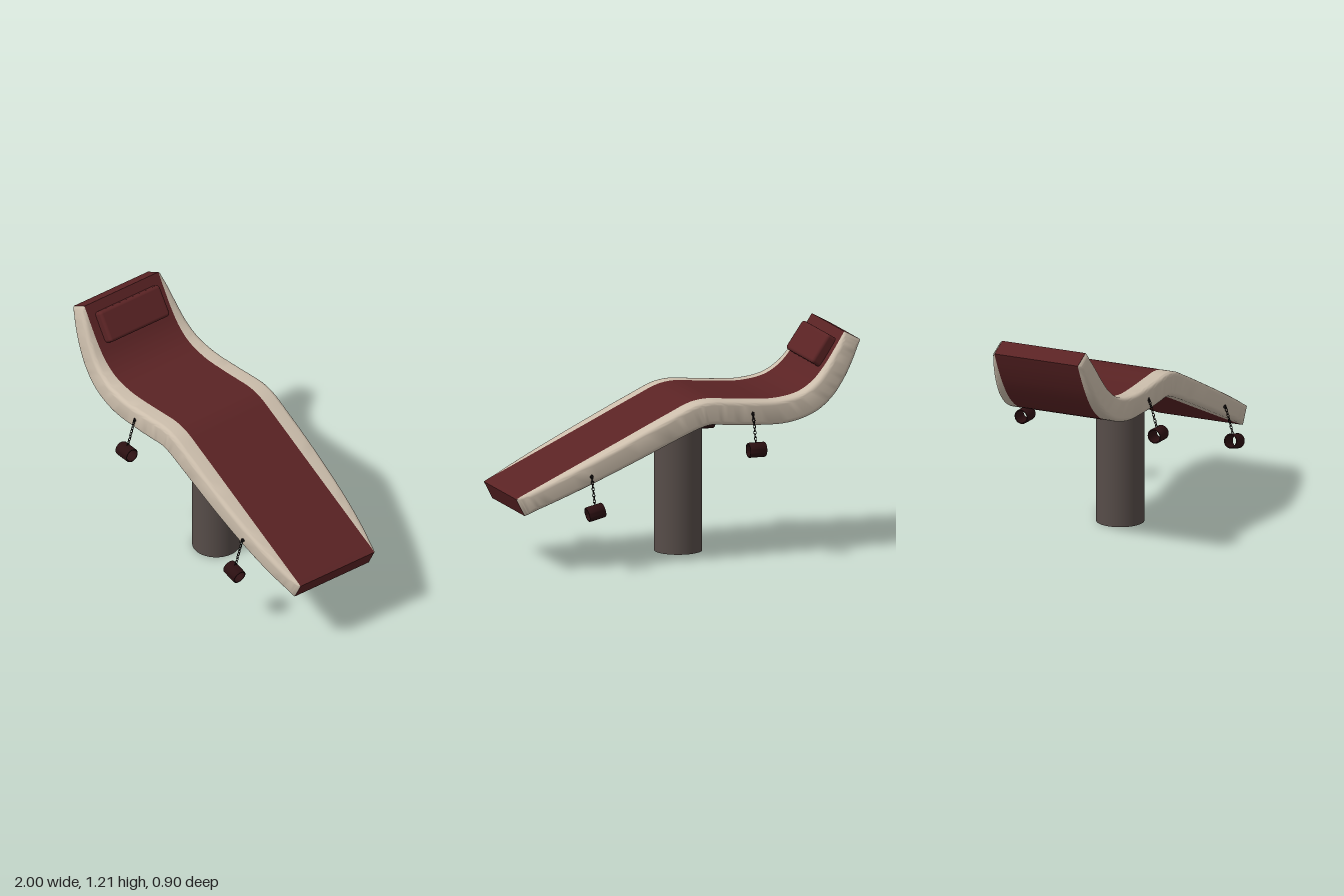
import * as THREE from 'three';
import { toCreasedNormals } from 'three/addons/utils/BufferGeometryUtils.js';
import { RoundedBoxGeometry } from 'three/addons/geometries/RoundedBoxGeometry.js';

const mat = (name, color) => Object.assign(new THREE.MeshStandardMaterial({ color }), { name });
const red = mat('redLeather', 0x5a2324);
const cream = mat('creamLeather', 0xcbbdab);
const brown = mat('pedestalBrown', 0x574d49);
const cuffDark = mat('cuffLeather', 0x2c1012);
const black = mat('chainBlack', 0x181313);

// Matching points along the top and underside of the lounger, head to foot
const profile = [
  [-0.905, 1.205, -0.997, 1.155], [-0.89, 1.18, -0.986, 1.13], [-0.85, 1.115, -0.945, 1.045],
  [-0.79, 1.025, -0.89, 0.95], [-0.72, 0.945, -0.82, 0.86], [-0.63, 0.89, -0.72, 0.785],
  [-0.5, 0.866, -0.56, 0.738], [-0.36, 0.87, -0.36, 0.738], [-0.2, 0.884, -0.2, 0.75],
  [-0.1, 0.891, -0.11, 0.758], [-0.01, 0.877, -0.05, 0.745], [0.12, 0.82, 0.07, 0.697],
  [0.4, 0.688, 0.35, 0.573], [0.7, 0.547, 0.65, 0.44], [0.9, 0.453, 0.85, 0.353],
  [0.965, 0.423, 0.92, 0.322], [0.992, 0.408, 0.943, 0.313],
];
const N = 80;
const INNER = 0.255; // half width of the red centre strip
const curve = (k) => new THREE.CatmullRomCurve3(profile.map((p) => new THREE.Vector3(p[k], p[k + 1], 0)));
const upperCurve = curve(0), lowerCurve = curve(2);
const upper = [], lower = [];
for (let i = 0; i <= N; i++) {
  upper.push(upperCurve.getPoint(i / N));
  lower.push(lowerCurve.getPoint(i / N));
}

// Overall half width, bulging in the middle and closing at both ends
function halfWidth(x) {
  const u = Math.min(1, x < 0 ? -x / 0.951 : x / 0.9675);
  return 0.256 + 0.094 * (x < 0 ? Math.sqrt(1 - u ** 3) : (1 - u ** 2.5) ** 0.7);
}

function centreStrip() {
  const outline = [...lower, ...upper.slice().reverse()].map((p) => new THREE.Vector2(p.x, p.y));
  const geo = new THREE.ExtrudeGeometry(new THREE.Shape(outline), { depth: INNER * 2, bevelEnabled: false });
  geo.translate(0, 0, -INNER);
  return toCreasedNormals(geo, 0.5);
}

// Cream side bolster with rounded edges, side = 1 or -1
function sideBolster(side) {
  const pos = [], index = [], ARC = 5, rows = 2 * (ARC + 1) + 2;
  for (let i = 0; i <= N; i++) {
    const a = upper[i], b = lower[i];
    const h = halfWidth((a.x + b.x) / 2), r = Math.min(0.025, h - INNER);
    const f = r / a.distanceTo(b);
    const section = [[0, INNER]];
    for (let k = 0; k <= ARC; k++) {
      const t = (k / ARC) * Math.PI / 2;
      section.push([f * (1 - Math.cos(t)), h - r + r * Math.sin(t)]);
    }
    for (let k = ARC; k >= 0; k--) section.push([1 - section[k + 1][0], section[k + 1][1]]);
    section.push([1, INNER]);
    for (const [t, z] of section) {
      const p = a.clone().lerp(b, t);
      pos.push(p.x, p.y, side * z);
    }
  }
  for (let i = 0; i < N; i++) for (let j = 0; j < rows - 1; j++) {
    const a = i * rows + j, b = a + 1, d = a + rows, c = d + 1;
    if (side > 0) index.push(a, b, d, b, c, d);
    else index.push(a, d, b, b, d, c);
  }
  const geo = new THREE.BufferGeometry();
  geo.setAttribute('position', new THREE.Float32BufferAttribute(pos, 3));
  geo.setIndex(index);
  return toCreasedNormals(geo, 0.9);
}

function add(parent, name, geo, material) {
  const m = new THREE.Mesh(geo, material);
  m.name = name;
  parent.add(m);
  return m;
}

// Cuff hanging from the bolster on a short chain
function restraint(name, side, x, anchor, cuff, tilt) {
  const g = new THREE.Group();
  g.name = name;
  const ring = [[0.034, -0.048], [0.039, -0.048], [0.041, -0.044], [0.041, 0.044], [0.039, 0.048], [0.034, 0.048], [0.034, -0.048]];
  const cuffGeo = toCreasedNormals(new THREE.LatheGeometry(ring.map(([r, y]) => new THREE.Vector2(r, y)), 32), 0.6);
  const c = add(g, 'cuff', cuffGeo, cuffDark);
  c.position.set(x, cuff[1], side * cuff[0]);
  c.rotation.z = Math.PI / 2 + tilt;

  const plate = add(g, 'chainAnchor', new THREE.CylinderGeometry(0.009, 0.009, 0.012, 12), black);
  plate.rotation.x = Math.PI / 2;
  plate.position.set(x, anchor[1], side * anchor[0]);

  const from = new THREE.Vector3(x, anchor[1], side * (anchor[0] + 0.006));
  const to = new THREE.Vector3(x, cuff[1] + 0.042, side * (cuff[0] - 0.01));
  const dir = to.clone().sub(from).normalize();
  const linkGeo = new THREE.TorusGeometry(0.007, 0.002, 6, 12).scale(1, 1.5, 1);
  const links = Math.round(from.distanceTo(to) / 0.0165);
  const chain = new THREE.Group();
  chain.name = 'chain';
  for (let i = 0; i <= links; i++) {
    const link = add(chain, 'chainLink', linkGeo, black);
    link.position.lerpVectors(from, to, i / links);
    link.quaternion.setFromUnitVectors(new THREE.Vector3(0, 1, 0), dir);
    link.rotateY(i % 2 ? Math.PI / 2 : 0);
  }
  g.add(chain);
  return g;
}

export function createModel() {
  const model = new THREE.Group();
  model.name = 'lounger';

  const pedestal = add(model, 'pedestal', new THREE.CylinderGeometry(0.131, 0.131, 0.77, 48), brown);
  pedestal.position.set(-0.046, 0.385, 0.02);

  // The couch sits slightly turned on its pedestal
  const couch = new THREE.Group();
  couch.name = 'couch';
  couch.rotation.y = -0.0225;
  model.add(couch);
  add(couch, 'centreStrip', centreStrip(), red);

  const pillow = add(couch, 'headPillow', new RoundedBoxGeometry(0.18, 0.07, 0.415, 4, 0.018), red);
  pillow.position.set(-0.81, 1.092, 0);
  pillow.rotation.z = Math.atan2(0.825, -0.565);

  for (const side of [1, -1]) {
    const label = side > 0 ? 'front' : 'back';
    add(couch, label + 'Bolster', sideBolster(side), cream);
    couch.add(restraint(label + 'WristRestraint', side, -0.342, [0.347, 0.805], [0.407, 0.618], 0));
    couch.add(restraint(label + 'AnkleRestraint', side, 0.585, [0.333, 0.52], [0.392, 0.335], -0.24));
  }
  return model;
}
